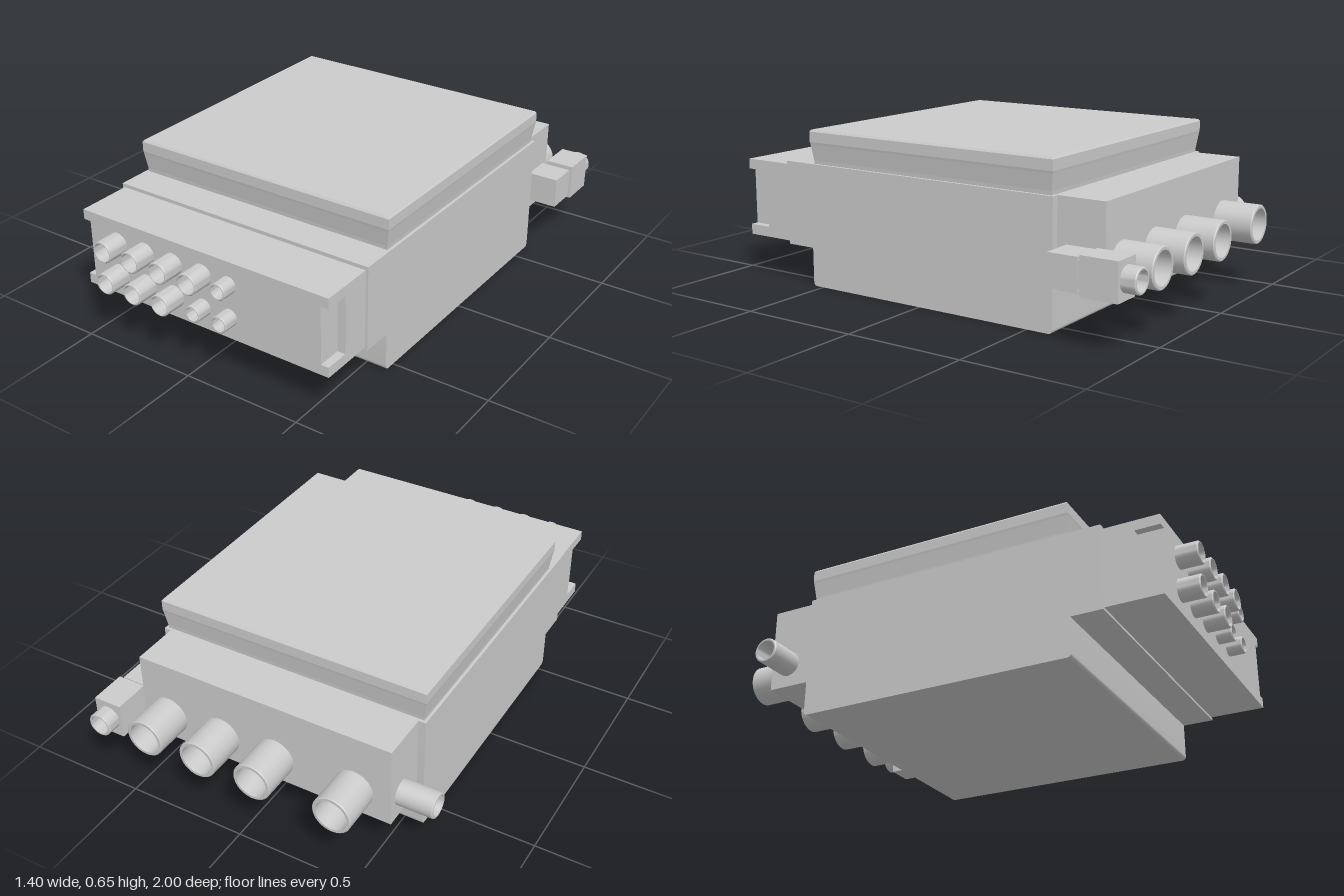
import * as THREE from 'three';
import { toCreasedNormals } from 'three/addons/utils/BufferGeometryUtils.js';

export function createModel() {
  const model = new THREE.Group();
  const material = new THREE.MeshStandardMaterial({ color: 0xcccccc });

  function add(name, geometry, parent = model) {
    const mesh = new THREE.Mesh(geometry, material);
    mesh.name = name;
    parent.add(mesh);
    return mesh;
  }

  // Box given by its limits on each axis
  function block(name, [x0, x1], [y0, y1], [z0, z1], parent) {
    const mesh = add(name, new THREE.BoxGeometry(x1 - x0, y1 - y0, z1 - z0), parent);
    mesh.position.set((x0 + x1) / 2, (y0 + y1) / 2, (z0 + z1) / 2);
    return mesh;
  }

  // Hollow round connector with a closed floor, pointing along a direction
  function socket(name, radius, wall, length, position, direction, parent) {
    const inner = radius - wall;
    const profile = [
      [radius, 0], [radius, length - 0.004], [radius - 0.004, length],
      [inner, length], [inner, 0.008], [0, 0.008],
    ].map(([r, h]) => new THREE.Vector2(r, h));
    const mesh = add(name, toCreasedNormals(new THREE.LatheGeometry(profile, 32), 0.6), parent);
    mesh.position.set(...position);
    mesh.quaternion.setFromUnitVectors(new THREE.Vector3(0, 1, 0), new THREE.Vector3(...direction));
    return mesh;
  }

  // Housing: side profile (z, y) with rounded lower edges and a raised front step
  const side = new THREE.Shape();
  const r = 0.018;
  side.moveTo(-0.61 + r, 0);
  side.lineTo(0.55 - r, 0);
  side.quadraticCurveTo(0.55, 0, 0.55, r);
  side.lineTo(0.55, 0.16);
  side.lineTo(0.68, 0.16);
  side.lineTo(0.68, 0.51);
  side.lineTo(-0.61, 0.51);
  side.lineTo(-0.61, r);
  side.quadraticCurveTo(-0.61, 0, -0.61 + r, 0);
  const housing = new THREE.ExtrudeGeometry(side, { depth: 1.17, bevelEnabled: false, curveSegments: 6 });
  housing.rotateY(-Math.PI / 2); // profile z maps from shape x, extrusion runs to -x
  add('housing', toCreasedNormals(housing, 0.6)).position.x = 0.59;

  // Lid: flares outward from its base, with a small bevel on top
  const rings = [[0.51, 0.012], [0.525, 0.011], [0.59, 0.002], [0.6, 0], [0.642, 0], [0.65, 0.006]];
  let lid = new THREE.BoxGeometry(1.17, 1, 1.16, 1, rings.length - 1, 1);
  const p = lid.attributes.position;
  for (let i = 0; i < p.count; i++) {
    const [y, inset] = rings[Math.round((p.getY(i) + 0.5) * (rings.length - 1))];
    const x = p.getX(i), z = p.getZ(i);
    p.setXYZ(i, x - Math.sign(x) * inset, y, z - Math.sign(z) * inset);
  }
  lid = lid.toNonIndexed();
  lid.computeVertexNormals();
  add('lid', lid).position.set(0.005, 0, -0.03);

  // Front panel with a recess at each end
  const frontPanel = new THREE.Group();
  frontPanel.name = 'frontPanel';
  model.add(frontPanel);
  block('panelBottom', [-0.57, 0.58], [0.17, 0.213], [0.68, 0.91], frontPanel);
  block('panelTop', [-0.57, 0.58], [0.453, 0.495], [0.68, 0.91], frontPanel);
  block('panelBack', [-0.57, 0.58], [0.213, 0.453], [0.68, 0.808], frontPanel);
  block('panelFace', [-0.537, 0.547], [0.213, 0.453], [0.808, 0.91], frontPanel);

  // Two rows of front sockets; the last ones in each row are smaller
  const frontSockets = new THREE.Group();
  frontSockets.name = 'frontSockets';
  model.add(frontSockets);
  const columns = [-0.397, -0.26, -0.123, 0.016, 0.14];
  [[0.4, 4], [0.262, 3]].forEach(([y, largeCount]) => {
    columns.forEach((x, i) => {
      const large = i < largeCount;
      socket('frontSocket', large ? 0.045 : 0.035, 0.007, large ? 0.09 : 0.065,
        [x, y, 0.91], [0, 0, 1], frontSockets);
    });
  });

  // Rear block with its row of large sockets
  block('rearBlock', [-0.55, 0.56], [0.16, 0.51], [-0.81, -0.61]);
  const rearSockets = new THREE.Group();
  rearSockets.name = 'rearSockets';
  model.add(rearSockets);
  for (const x of [-0.395, -0.052, 0.194, 0.44]) {
    socket('rearSocket', 0.081, 0.015, 0.165, [x, 0.27, -0.81], [0, 0, -1], rearSockets);
  }

  // Side socket on the model's right
  socket('sideSocket', 0.052, 0.01, 0.152, [-0.55, 0.26, -0.73], [-1, 0, 0]);

  // Angled connector on the model's left, turning to the rear
  const elbow = new THREE.Group();
  elbow.name = 'elbowConnector';
  model.add(elbow);
  block('elbowBase', [0.56, 0.69], [0.207, 0.335], [-0.775, -0.65], elbow);
  block('elbowNeck', [0.587, 0.687], [0.222, 0.322], [-0.79, -0.775], elbow);
  block('elbowBody', [0.578, 0.698], [0.195, 0.345], [-0.94, -0.788], elbow);
  socket('elbowTip', 0.05, 0.01, 0.06, [0.638, 0.272, -0.94], [0, 0, -1], elbow);

  return model;
}
